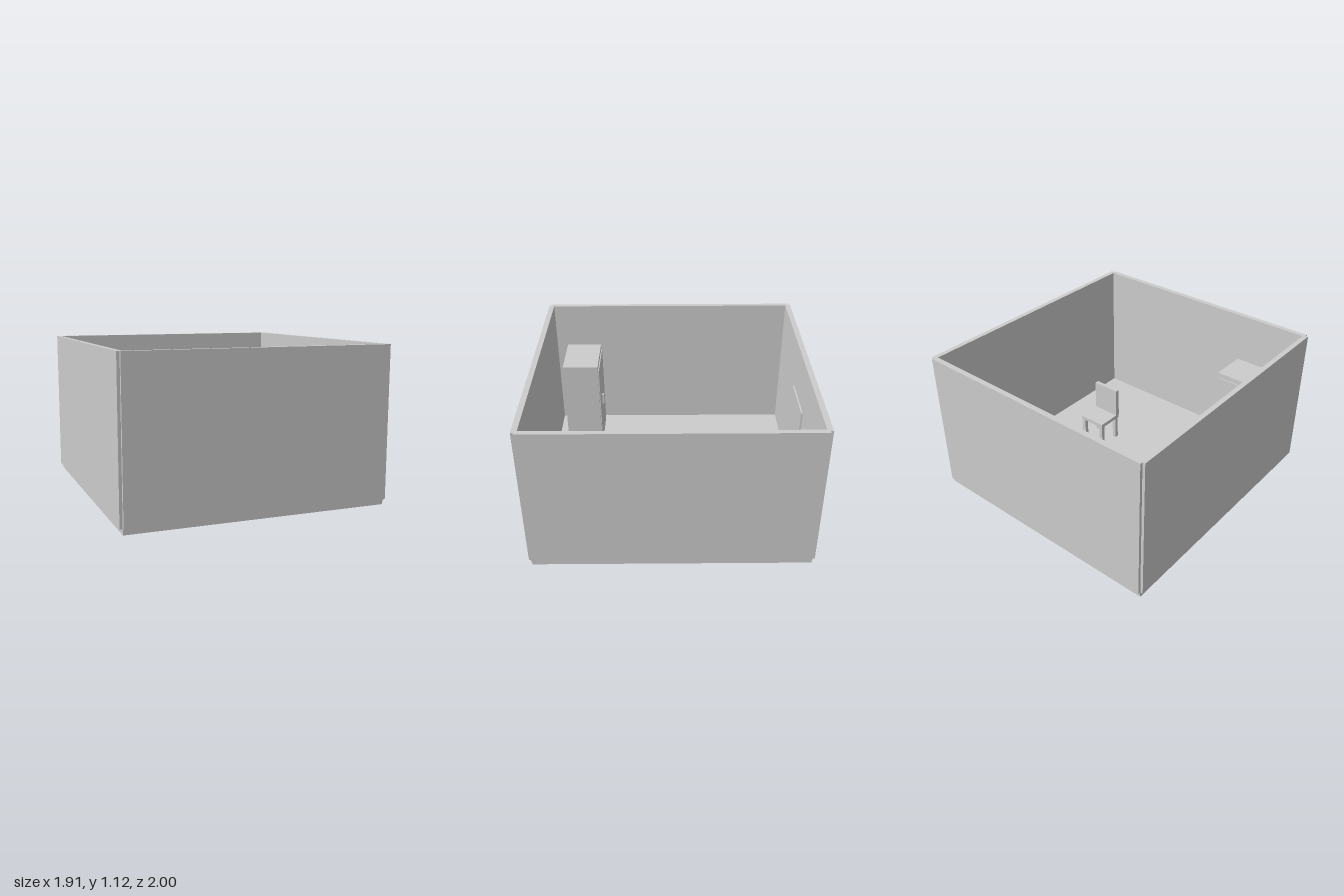
import * as THREE from 'three';

const grey = new THREE.MeshStandardMaterial({ color: 0xcccccc });
grey.name = 'plain grey';

// Box given by its lower and upper limits on each axis
function slab(parent, name, [x0, x1], [y0, y1], [z0, z1]) {
  const mesh = new THREE.Mesh(new THREE.BoxGeometry(x1 - x0, y1 - y0, z1 - z0), grey);
  mesh.position.set((x0 + x1) / 2, (y0 + y1) / 2, (z0 + z1) / 2);
  mesh.name = name;
  parent.add(mesh);
}

function part(parent, name) {
  const group = new THREE.Group();
  group.name = name;
  parent.add(group);
  return group;
}

export function createModel() {
  const model = new THREE.Group();
  model.name = 'room';
  const floorTop = 0.04, wallTop = 1.12;

  // Floor and four walls, centred on the floor's edges
  slab(model, 'floor', [-0.935, 0.935], [0, floorTop], [-0.98, 0.98]);
  const walls = part(model, 'walls');
  const height = [floorTop, wallTop];
  slab(walls, 'frontWall', [-0.935, 0.935], height, [0.96, 1]);
  slab(walls, 'backWall', [-0.935, 0.935], height, [-1, -0.96]);
  slab(walls, 'leftWall', [0.918, 0.955], height, [-0.98, 0.98]);
  slab(walls, 'rightWall', [-0.955, -0.918], height, [-0.98, 0.98]);

  // Door panel on the back wall
  slab(model, 'door', [-0.2, 0.2], [floorTop, 0.773], [-0.965, -0.948]);

  // Wardrobe facing the back wall
  const wardrobe = part(model, 'wardrobe');
  slab(wardrobe, 'wardrobeBody', [-0.85, -0.45], [floorTop, 0.8], [0.584, 0.863]);
  slab(wardrobe, 'wardrobeDoor', [-0.838, -0.463], [0.07, 0.76], [0.576, 0.584]);
  slab(wardrobe, 'wardrobeHandle', [-0.635, -0.606], [0.36, 0.45], [0.56, 0.576]);

  // Chair with its back towards the front wall
  const chair = part(model, 'chair');
  slab(chair, 'seat', [0.29, 0.513], [0.23, 0.26], [0.06, 0.27]);
  slab(chair, 'backrest', [0.29, 0.513], [0.26, 0.495], [0.241, 0.274]);
  for (const x of [0.295, 0.478]) {
    for (const z of [0.065, 0.235]) {
      slab(chair, 'chairLeg', [x, x + 0.03], [floorTop, 0.23], [z, z + 0.03]);
    }
  }
  return model;
}
